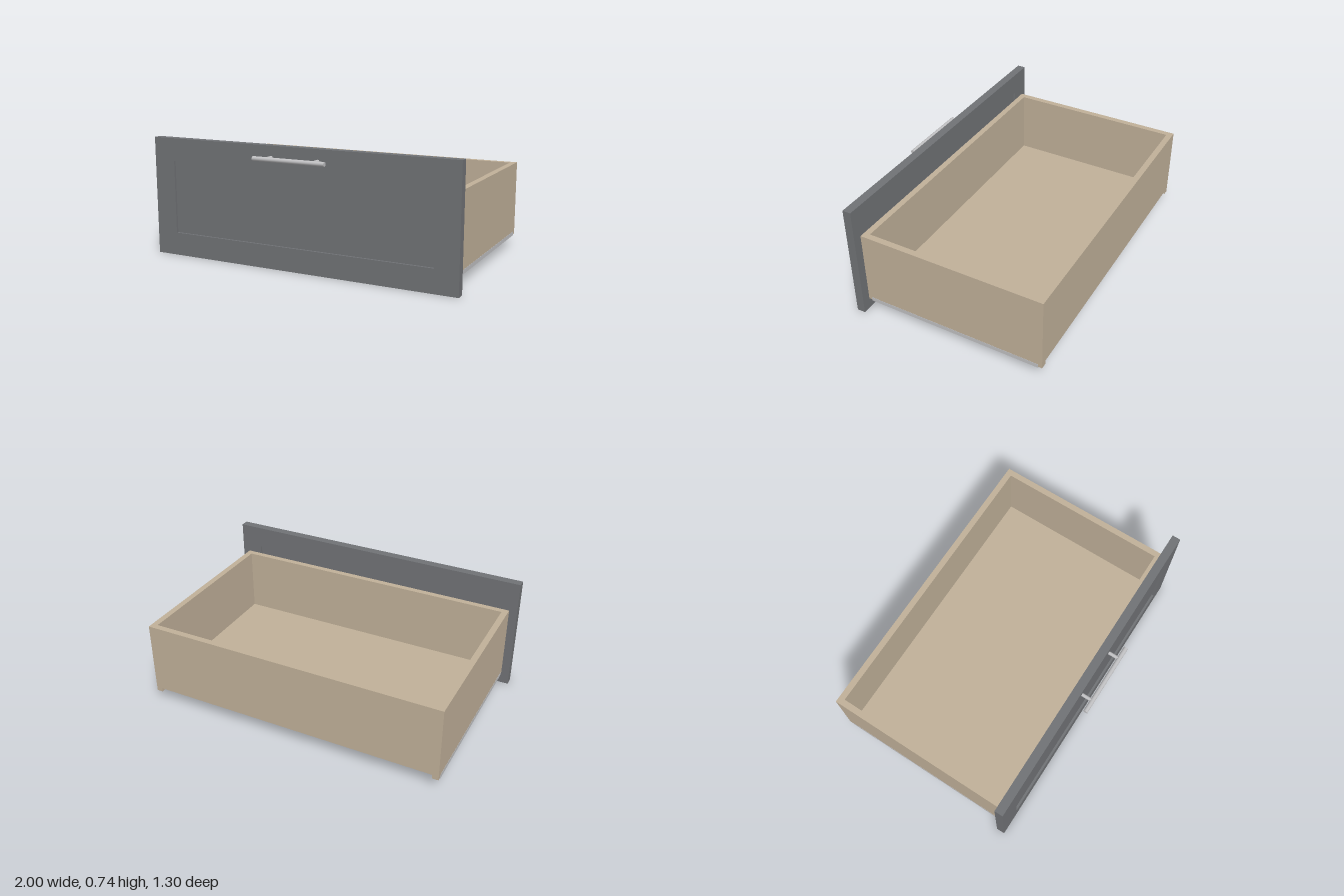
import * as THREE from 'three';

const material = (name, color) => {
  const m = new THREE.MeshStandardMaterial({ color });
  m.name = name;
  return m;
};

export function createModel() {
  const drawer = new THREE.Group();
  drawer.name = 'drawer';
  const grey = material('grey paint', 0x707275);
  const wood = material('pale wood', 0xbfaf98);
  const metal = material('brushed metal', 0xbfbfc1);

  const add = (name, geometry, mat, parent = drawer) => {
    const mesh = new THREE.Mesh(geometry, mat);
    mesh.name = name;
    parent.add(mesh);
    return mesh;
  };
  // Box given by its lower and upper bounds on each axis
  const box = (name, mat, [x0, x1], [y0, y1], [z0, z1], parent) =>
    add(name, new THREE.BoxGeometry(x1 - x0, y1 - y0, z1 - z0), mat, parent)
      .position.set((x0 + x1) / 2, (y0 + y1) / 2, (z0 + z1) / 2);
  const rectangle = (Type, x, y0, y1) => new Type([[-x, y0], [x, y0], [x, y1], [-x, y1]]
    .map(([px, py]) => new THREE.Vector2(px, py)));

  // Front: a frame around a panel recessed on both faces
  const front = new THREE.Group();
  front.name = 'drawerFront';
  drawer.add(front);
  const frame = rectangle(THREE.Shape, 1, 0, 0.738);
  frame.holes.push(rectangle(THREE.Path, 0.858, 0.143, 0.598));
  add('frontFrame', new THREE.ExtrudeGeometry(frame, { depth: 0.053, bevelEnabled: false }), grey, front)
    .position.z = 0.517;
  box('frontPanel', grey, [-0.858, 0.858], [0.143, 0.598], [0.531, 0.556], front);

  // Tray: the side walls reach lower than the end walls and the floor
  const tray = new THREE.Group();
  tray.name = 'tray';
  drawer.add(tray);
  const outer = 0.95, inner = 0.912, top = 0.548, low = 0.1;
  const back = -0.651, fore = 0.512, wall = 0.038;
  box('backWall', wood, [-inner, inner], [low, top], [back, back + wall], tray);
  box('innerFrontWall', wood, [-inner, inner], [low, top], [fore - wall, fore], tray);
  box('floor', wood, [-inner, inner], [low, 0.138], [back + wall, fore - wall], tray);
  for (const side of [-1, 1]) {
    const span = (a, b) => [side * a, side * b].sort((p, q) => p - q);
    box('sideWall', wood, span(inner, outer), [0.075, top], [back, fore], tray);
    // Runner wrapped around the lower edge of the side wall
    box('runner', metal, span(inner - 0.002, outer + 0.001), [0.068, 0.094], [-0.626, 0.49]);
  }

  // Bar handle on two posts
  const handle = new THREE.Group();
  handle.name = 'handle';
  handle.position.y = 0.668;
  drawer.add(handle);
  const bar = add('handleBar', new THREE.CylinderGeometry(0.0135, 0.0135, 0.466, 24), metal, handle);
  bar.rotation.z = Math.PI / 2;
  bar.position.z = 0.64;
  for (const x of [-0.153, 0.153]) {
    const post = add('handlePost', new THREE.CylinderGeometry(0.0105, 0.0105, 0.074, 24), metal, handle);
    post.rotation.x = Math.PI / 2;
    post.position.set(x, 0, 0.604);
  }
  return drawer;
}
